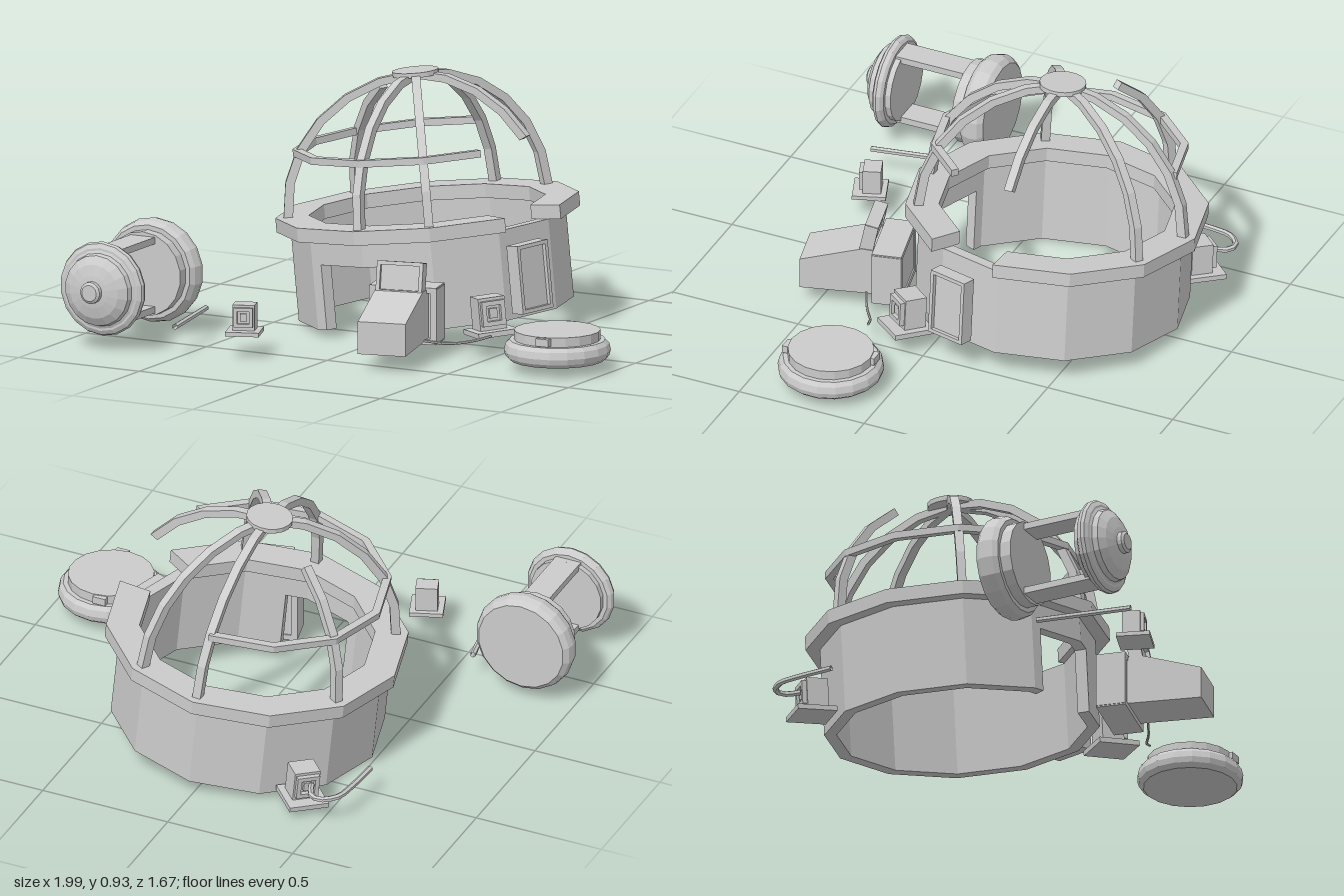
import * as THREE from 'three';

const mat = new THREE.MeshStandardMaterial({ color: 0xcccccc, flatShading: true, side: THREE.DoubleSide });
const rad = THREE.MathUtils.degToRad;

function add(parent, name, geo, x = 0, y = 0, z = 0) {
  const m = new THREE.Mesh(geo, mat);
  m.name = name;
  m.position.set(x, y, z);
  parent.add(m);
  return m;
}
const box = (parent, name, w, h, d, x, y, z) => add(parent, name, new THREE.BoxGeometry(w, h, d), x, y, z);

function group(parent, name, x, y, z, turn = 0) {
  const g = new THREE.Group();
  g.name = name;
  g.position.set(x, y, z);
  g.rotation.y = rad(turn);
  parent.add(g);
  return g;
}

// Twelve-sided wall strip between two azimuths (0 = front, 90 = +x), hanging down from y = 0
function band(from, to, rOut, rIn, h) {
  const az = [from];
  for (let a = Math.floor(from / 30) * 30 + 30; a < to; a += 30) az.push(a);
  az.push(to);
  const pt = (a, r) => {
    const off = a - Math.floor(a / 30) * 30 - 15;
    const rr = r * Math.cos(rad(15)) / Math.cos(rad(off));
    return new THREE.Vector2(rr * Math.sin(rad(a)), rr * Math.cos(rad(a)));
  };
  const pts = [...az.map(a => pt(a, rOut)), ...az.reverse().map(a => pt(a, rIn))];
  const geo = new THREE.ExtrudeGeometry(new THREE.Shape(pts), { depth: h, bevelEnabled: false });
  return geo.rotateX(Math.PI / 2);
}

// Curved dome rib between two elevations, in the plane of one azimuth
function rib(parent, az, e0, e1) {
  const n = Math.max(2, Math.round((e1 - e0) / 15)), outer = [], inner = [];
  for (let i = 0; i <= n; i++) {
    const e = rad(e0 + (e1 - e0) * i / n);
    outer.push(new THREE.Vector2(0.522 * Math.cos(e), 0.498 * Math.sin(e)));
    inner.unshift(new THREE.Vector2(0.488 * Math.cos(e), 0.47 * Math.sin(e)));
  }
  const w = 0.032;
  const geo = new THREE.ExtrudeGeometry(new THREE.Shape([...outer, ...inner]), { depth: w, bevelEnabled: false });
  geo.translate(0, 0, -w / 2);
  add(parent, 'domeRib', geo, 0, 0.05, 0).rotation.y = rad(az - 90);
}

// Rounded wheel-like disc with a smaller raised face, base at y = 0
function disc(parent, name, r) {
  const p = [[0, 0], [0.88, 0], [0.97, 0.015], [1, 0.035], [0.97, 0.06], [0.9, 0.075], [0.81, 0.075], [0.81, 0.11], [0, 0.11]];
  return add(parent, name, new THREE.LatheGeometry(p.map(([a, b]) => new THREE.Vector2(a * r, b)), 18));
}

// Small equipment box with a hooded face on a base plate
function junctionBox(parent, x, y, z, turn, s) {
  const g = group(parent, 'junctionBox', x, y, z, turn);
  g.scale.setScalar(s);
  box(g, 'basePlate', 0.13, 0.016, 0.13, 0, 0.008, 0);
  box(g, 'boxBody', 0.085, 0.1, 0.07, 0, 0.065, -0.01);
  for (const sx of [-1, 1]) box(g, 'boxFrameSide', 0.014, 0.075, 0.02, sx * 0.03, 0.068, 0.03);
  for (const sy of [-1, 1]) box(g, 'boxFrameEdge', 0.074, 0.014, 0.02, 0, 0.068 + sy * 0.031, 0.03);
  box(g, 'boxButton', 0.025, 0.03, 0.012, 0, 0.068, 0.029);
  return g;
}

function tube(parent, name, pts, r) {
  const c = new THREE.CatmullRomCurve3(pts.map(p => new THREE.Vector3(...p)));
  return add(parent, name, new THREE.TubeGeometry(c, pts.length > 2 ? 14 : 1, r, 6));
}

// Ruined round building, leaning up toward +x
function building(root) {
  const g = group(root, 'building', -0.02, 0.378, -0.29);
  g.rotation.z = 0.1;
  add(g, 'wall', band(10, 335, 0.5, 0.455, 0.33));
  add(g, 'doorLintel', band(-25, 10, 0.5, 0.455, 0.09));
  add(g, 'rim', band(90, 420, 0.552, 0.43, 0.052), 0, 0.052, 0);

  for (const az of [0, 30, 150, 180, -60]) rib(g, az, 0, 90);
  rib(g, -120, 0, 61);
  rib(g, 90, 31, 90);
  add(g, 'domeHoop', band(-180, 57, 0.468, 0.438, 0.026), 0, 0.298, 0);
  add(g, 'domeCap', new THREE.CylinderGeometry(0.085, 0.085, 0.018, 18), 0, 0.54, 0);

  // Framed hatch on the +x side
  const h = group(g, 'hatch', 0.495, -0.18, 0.175, 75);
  box(h, 'hatchPanel', 0.14, 0.23, 0.035, 0, 0, 0.005);
  for (const s of [-1, 1]) {
    box(h, 'hatchSide', 0.014, 0.25, 0.055, s * 0.072, 0, 0.01);
    box(h, 'hatchEdge', 0.144, 0.014, 0.055, 0, s * 0.118, 0.01);
  }
  junctionBox(g, 0.44, -0.355, 0.38, 50, 1.2);
  junctionBox(g, -0.405, -0.31, -0.4, -135, 1.15);
}

// Control desk in front of the wall
function consoleDesk(root) {
  const g = group(root, 'console', 0.19, 0, 0.23, 13);
  const profile = [[0.02, 0.07], [0.36, 0.06], [0.36, 0.18], [0.13, 0.255], [0.02, 0.25]];
  const geo = new THREE.ExtrudeGeometry(new THREE.Shape(profile.map(p => new THREE.Vector2(...p))), { depth: 0.18, bevelEnabled: false });
  geo.rotateY(-Math.PI / 2).translate(0.09, 0, 0);
  add(g, 'deskBody', geo);
  box(g, 'deskBack', 0.23, 0.19, 0.08, 0, 0.155, 0.02);
  for (const s of [-1, 1]) {
    box(g, 'deskSide', 0.025, 0.2, 0.11, s * 0.115, 0.155, 0.03);
    box(g, 'deskFoot', 0.25, 0.02, 0.11, 0, 0.155 + s * 0.095, 0.03);
  }
  const screen = group(g, 'screen', 0, 0.295, 0.1);
  screen.rotation.x = -0.2;
  box(screen, 'screenPanel', 0.16, 0.1, 0.03, 0, 0, 0);
  for (const s of [-1, 1]) {
    box(screen, 'screenSide', 0.014, 0.115, 0.05, s * 0.08, 0, 0.005);
    box(screen, 'screenEdge', 0.17, 0.014, 0.05, 0, s * 0.052, 0.005);
  }
  tube(root, 'cable', [[0.3, 0.07, 0.32], [0.38, 0.06, 0.28], [0.46, 0.07, 0.23], [0.52, 0.09, 0.21]], 0.005);
}

// Fallen reel: two discs joined by rods, lying along z
function reel(root) {
  const g = group(root, 'reel', -0.805, 0.225, 0.295);
  g.rotation.x = Math.PI / 2;
  disc(g, 'reelBackDisc', 0.193).scale.y = 1.2;
  const front = disc(g, 'reelFrontDisc', 0.174);
  front.rotation.x = Math.PI;
  front.position.y = 0.45;
  front.scale.y = 0.6;
  for (const s of [-1, 1]) box(g, 'reelRod', 0.1, 0.3, 0.025, 0, 0.26, s * 0.128);
  const nose = [[0.165, 0.44], [0.135, 0.455], [0.13, 0.475], [0.1, 0.495], [0.06, 0.505], [0.04, 0.508], [0.04, 0.525], [0.03, 0.532], [0, 0.532]];
  add(g, 'reelNose', new THREE.LatheGeometry(nose.map(p => new THREE.Vector2(...p)), 18));
}

export function createModel() {
  const root = new THREE.Group();
  root.name = 'ruinedDome';
  building(root);
  consoleDesk(root);
  reel(root);

  // Loose disc lying on the ground
  const d = group(root, 'looseDisc', 0.802, 0.036, 0.226);
  disc(d, 'discBody', 0.194);
  for (const s of [-1, 1]) box(d, 'discLug', 0.05, 0.028, 0.03, 0.03 * s, 0.093, s * 0.155);

  // Loose box, bar and bent pipe
  junctionBox(root, -0.295, 0.085, 0.585, 20, 0.95);
  tube(root, 'looseBar', [[-0.592, 0.105, 0.34], [-0.525, 0.105, 0.69]], 0.011);
  tube(root, 'bentPipe', [[-0.44, 0.11, -0.71], [-0.46, 0.105, -0.76], [-0.5, 0.105, -0.78], [-0.555, 0.105, -0.735], [-0.57, 0.105, -0.66], [-0.58, 0.105, -0.51]], 0.011);
  return root;
}
